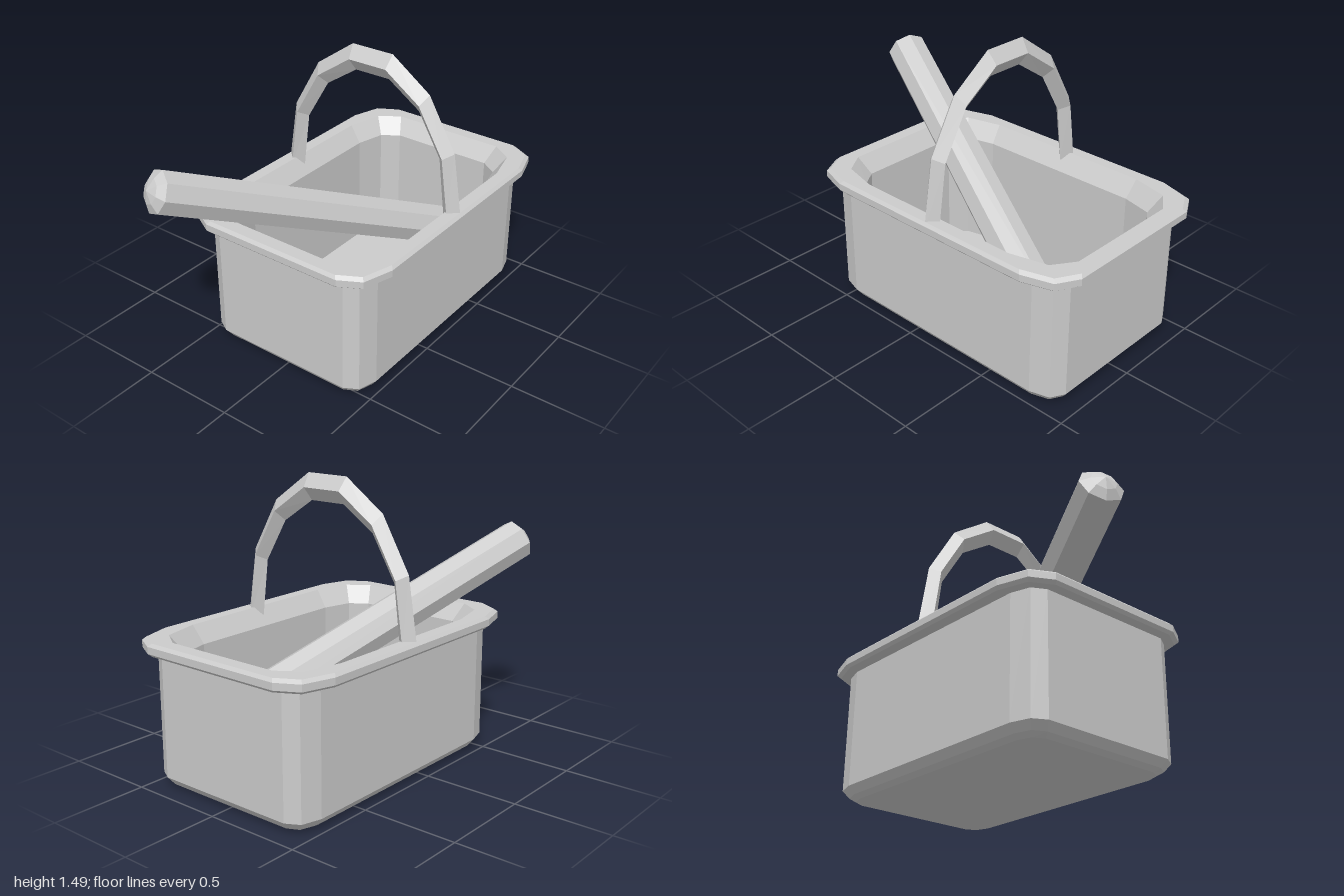
import * as THREE from 'three';

const Z0 = -0.18; // centre of the basket along z

function material() {
  return new THREE.MeshStandardMaterial({ color: 0xcccccc, flatShading: true });
}

function flatMesh(geometry, name) {
  const g = geometry.index ? geometry.toNonIndexed() : geometry;
  g.computeVertexNormals();
  const mesh = new THREE.Mesh(g, material());
  mesh.name = name;
  return mesh;
}

// Skin a series of closed rings, capping both ends
function loft(rings) {
  const pos = [];
  const tri = (...pts) => pts.forEach((p) => pos.push(p.x, p.y, p.z));
  const n = rings[0].length;
  for (let r = 0; r < rings.length - 1; r++) {
    for (let i = 0; i < n; i++) {
      const j = (i + 1) % n;
      const [a, b, c, d] = [rings[r][i], rings[r][j], rings[r + 1][j], rings[r + 1][i]];
      tri(a, b, c);
      tri(a, c, d);
    }
  }
  const first = rings[0], last = rings[rings.length - 1];
  for (let i = 1; i < n - 1; i++) {
    tri(first[0], first[i + 1], first[i]);
    tri(last[0], last[i], last[i + 1]);
  }
  const g = new THREE.BufferGeometry();
  g.setAttribute('position', new THREE.Float32BufferAttribute(pos, 3));
  return g;
}

// Rectangle with two-step corners, counter-clockwise from above
function ring([hx, hz, y, cx, cz]) {
  const corner = [[hx, hz - cz], [hx - 0.3 * cx, hz - 0.28 * cz], [hx - cx, hz]];
  const pts = [];
  for (const [sx, sz] of [[1, -1], [-1, -1], [-1, 1], [1, 1]]) {
    const c = sx * sz < 0 ? corner : [...corner].reverse();
    c.forEach(([x, z]) => pts.push(new THREE.Vector3(sx * x, y, Z0 + sz * z)));
  }
  return pts;
}

export function createModel() {
  const model = new THREE.Group();
  model.name = 'basketWithStick';

  // Tub: outside wall, rim, sloped lip, inside wall and floor
  const profile = [ // half width, half depth, height, corner x, corner z
    [0.425, 0.69, 0, 0.08, 0.10],
    [0.455, 0.72, 0.02, 0.09, 0.12],
    [0.485, 0.75, 0.06, 0.10, 0.14],
    [0.485, 0.75, 0.685, 0.10, 0.14],
    [0.545, 0.805, 0.685, 0.16, 0.22],
    [0.56, 0.82, 0.70, 0.16, 0.22],
    [0.56, 0.82, 0.735, 0.16, 0.22],
    [0.545, 0.805, 0.75, 0.16, 0.22],
    [0.48, 0.735, 0.75, 0.16, 0.27],
    [0.415, 0.675, 0.66, 0.13, 0.22],
    [0.415, 0.675, 0.05, 0.13, 0.22],
  ];
  model.add(flatMesh(loft(profile.map(ring)), 'tub'));

  // Handle: diamond section swept over an arch, [outer x, outer y, inner x, inner y]
  const half = [
    [0.55, 0.71, 0.447, 0.71],
    [0.495, 1.06, 0.41, 1.01],
    [0.34, 1.33, 0.28, 1.23],
    [0.12, 1.485, 0.10, 1.35],
  ];
  const arch = [...half, ...half.map(([a, b, c, d]) => [-a, b, -c, d]).reverse()];
  const handleRings = arch.map(([ox, oy, ix, iy]) => {
    const mx = (ox + ix) / 2, my = (oy + iy) / 2;
    return [
      new THREE.Vector3(ox, oy, Z0),
      new THREE.Vector3(mx, my, Z0 - 0.048),
      new THREE.Vector3(ix, iy, Z0),
      new THREE.Vector3(mx, my, Z0 + 0.048),
    ];
  });
  model.add(flatMesh(loft(handleRings), 'handle'));

  // Stick: eight-sided rod with blunt pointed ends, leaning out of the tub
  const low = new THREE.Vector3(0.28, 0.27, -0.785);
  const high = new THREE.Vector3(-0.4, 1.05, 0.935);
  const h = low.distanceTo(high) / 2;
  const rod = [[0, -h - 0.05], [0.065, -h - 0.03], [0.11, -h], [0.11, h], [0.065, h + 0.03], [0, h + 0.05]]
    .map(([x, y]) => new THREE.Vector2(x, y));
  const stick = flatMesh(new THREE.LatheGeometry(rod, 8).rotateX(Math.PI / 2), 'stick');
  stick.position.copy(low).add(high).multiplyScalar(0.5);
  stick.lookAt(high);
  model.add(stick);

  return model;
}
